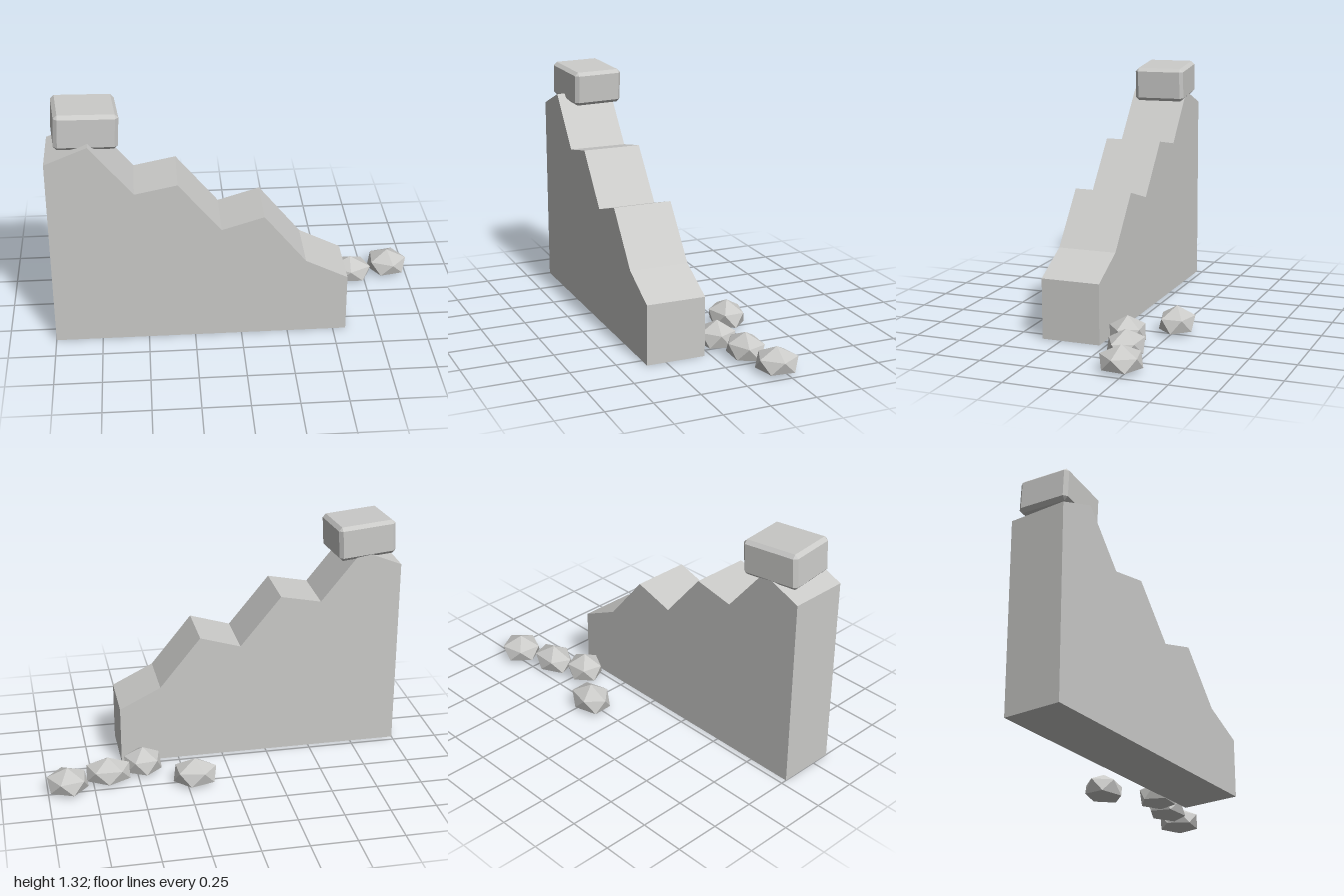
import * as THREE from 'three';
import { ConvexGeometry } from 'three/addons/geometries/ConvexGeometry.js';

const stone = new THREE.MeshStandardMaterial({ color: 0xcacac8 });
stone.name = 'pale grey stone';

function addPart(group, name, geometry) {
  const mesh = new THREE.Mesh(geometry, stone);
  mesh.name = name;
  group.add(mesh);
  return mesh;
}

// Box with every edge cut at 45 degrees
function chamferedBox(w, h, d, c) {
  const points = [];
  for (const x of [-1, 1]) for (const y of [-1, 1]) for (const z of [-1, 1]) {
    const [a, b, e] = [w / 2, h / 2, d / 2];
    points.push(
      new THREE.Vector3(x * a, y * (b - c), z * (e - c)),
      new THREE.Vector3(x * (a - c), y * b, z * (e - c)),
      new THREE.Vector3(x * (a - c), y * (b - c), z * e));
  }
  return new ConvexGeometry(points);
}

// Faceted rubble: a peak over two staggered five-sided rings, flat underneath
function rubbleRock(rx, rz, height, turn) {
  const points = [new THREE.Vector3(0, height, 0)];
  for (let i = 0; i < 10; i++) {
    const a = turn + i * Math.PI / 5;
    points.push(new THREE.Vector3(Math.cos(a) * rx, i % 2 ? 0 : height * 0.56, Math.sin(a) * rz));
  }
  return new ConvexGeometry(points);
}

export function createModel() {
  const group = new THREE.Group();
  group.name = 'ruinedWall';

  // Broken wall with a jagged, descending top
  const outline = [[-1, 0], [0.57, 0], [0.57, 0.327], [0.344, 0.44], [0.12, 0.718], [-0.104, 0.65],
    [-0.328, 0.925], [-0.552, 0.88], [-0.776, 1.157], [-1, 1.066]];
  const shape = new THREE.Shape(outline.map(([x, y]) => new THREE.Vector2(x, y)));
  const wall = addPart(group, 'wall',
    new THREE.ExtrudeGeometry(shape, { depth: 0.323, bevelEnabled: false }));
  wall.position.z = 0.033;

  // Loose block resting on the high end
  const block = addPart(group, 'looseBlock', chamferedBox(0.327, 0.192, 0.285, 0.019));
  block.position.set(-0.793, 1.213, 0.17);
  block.rotation.set(0, 0.1, -0.06);

  // Rubble behind the low end: x, z, radii, height, turn
  const rocks = [
    [0.207, -0.264, 0.118, 0.095, 0.127, 0.6],
    [0.467, -0.084, 0.104, 0.097, 0.127, 0.2],
    [0.666, -0.153, 0.123, 0.095, 0.12, 0.35],
    [0.892, -0.218, 0.111, 0.109, 0.116, 0.1],
  ];
  rocks.forEach(([x, z, rx, rz, h, turn], i) => {
    addPart(group, 'rubbleRock' + (i + 1), rubbleRock(rx, rz, h, turn)).position.set(x, 0.02, z);
  });
  return group;
}
